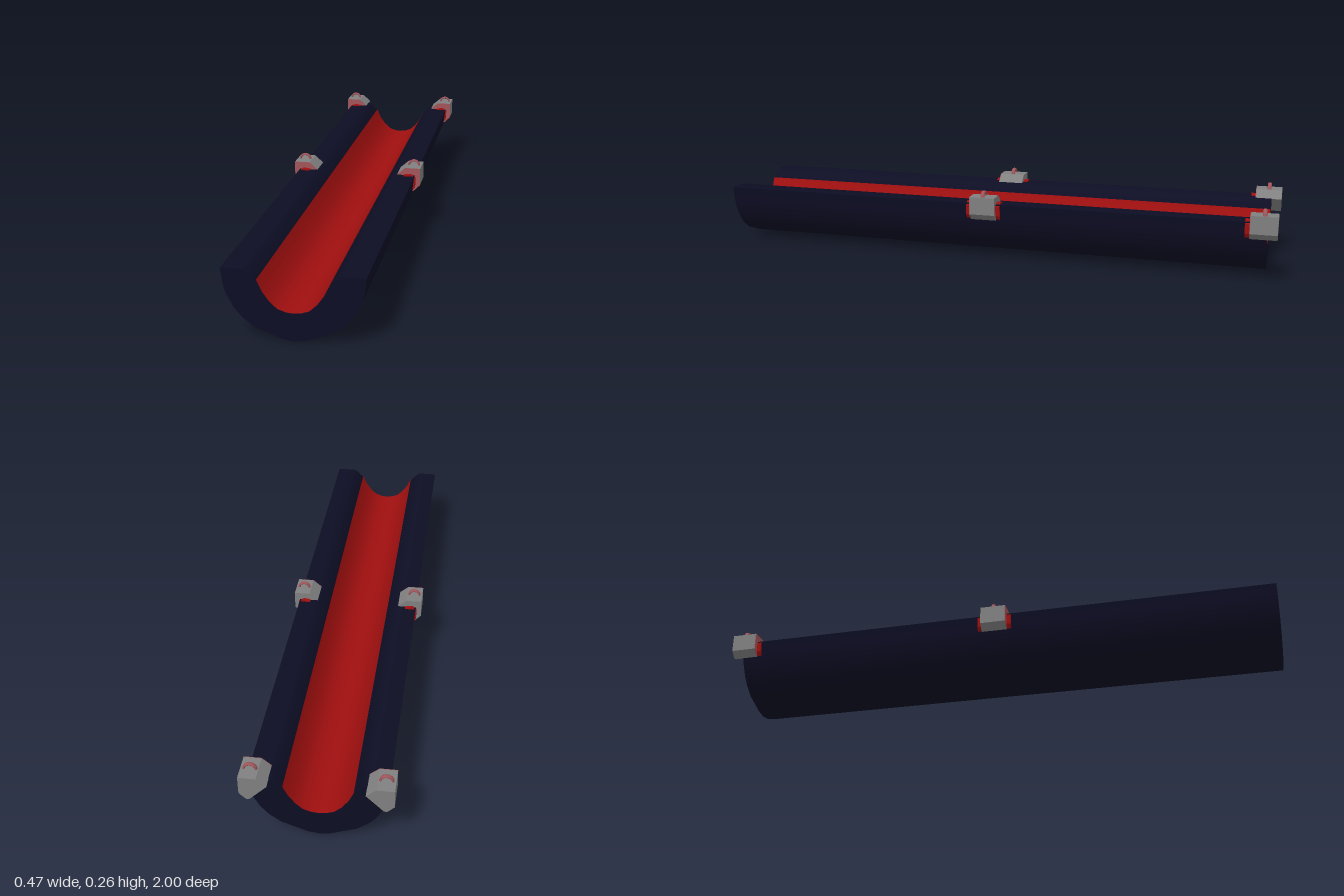
import * as THREE from 'three';
import { toCreasedNormals } from 'three/addons/utils/BufferGeometryUtils.js';

const mat = (name, color) => new THREE.MeshStandardMaterial({ name, color });

// Extrudes an outline of [x, y] points from z = back to z = front
function prism(points, back, front) {
  const shape = new THREE.Shape(points.map(([x, y]) => new THREE.Vector2(x, y)));
  const geo = new THREE.ExtrudeGeometry(shape, { depth: front - back, bevelEnabled: false });
  return geo.translate(0, 0, back);
}

// Completes a half profile that runs from the rim to the centre line
const mirrored = (half) => [...half, ...half.slice(0, -1).reverse().map(([x, y]) => [-x, y])];

export function createModel() {
  const navy = mat('navy', 0x0d0d24);
  const red = mat('red', 0xa00f0f);
  const grey = mat('grey', 0x808080);
  const rose = mat('dusty red', 0xa0555a);
  red.side = THREE.DoubleSide;

  const model = new THREE.Group();
  const add = (parent, name, geo, material) => {
    const mesh = new THREE.Mesh(geo, material);
    mesh.name = name;
    parent.add(mesh);
    return mesh;
  };

  const back = -0.965, front = 1;
  const outer = [[0.214, 0.216], [0.208, 0.167], [0.2, 0.137], [0.178, 0.095], [0.153, 0.065],
    [0.118, 0.038], [0.036, 0.006], [0, 0.001]];
  const bore = [[0.109, 0.185], [0.093, 0.15], [0.071, 0.12], [0.048, 0.099], [0.021, 0.09], [0, 0.088]];
  const inner = [[0.148, 0.216], [0.1375, 0.211], ...bore];

  // Half-pipe trough
  const outline = [...mirrored(outer), ...mirrored(inner).reverse()];
  add(model, 'trough', toCreasedNormals(prism(outline, back, front), 0.55), navy);

  // Red lining of the channel: a plane bent to the bore, just above it
  const curve = mirrored(bore).reverse();
  const lining = new THREE.PlaneGeometry(1, 1, curve.length - 1, 1);
  const pos = lining.attributes.position;
  for (let i = 0; i < pos.count; i++) {
    const [x, y] = curve[i % curve.length];
    pos.setXYZ(i, x * 0.985, y + 0.0015, i < curve.length ? back : front);
  }
  lining.computeVertexNormals();
  add(model, 'channelLining', lining, red);

  // Rim clamps, drawn for the +x side
  const clampOutline = [[0.147, 0.215], [0.178, 0.242], [0.233, 0.242], [0.233, 0.18], [0.21, 0.157], [0.2, 0.16]];
  const padOutline = [[0.175, 0.2], [0.175, 0.219], [0.2, 0.222], [0.217, 0.21], [0.216, 0.175], [0.206, 0.16]];
  const mirrorX = (pts, s) => pts.map(([x, y]) => [x * s, y]);

  for (const [z, place] of [[0.012, 'middle'], [-0.955, 'end']]) {
    for (const s of [1, -1]) {
      const clamp = new THREE.Group();
      clamp.name = place + (s > 0 ? 'LeftClamp' : 'RightClamp');
      clamp.position.z = z;
      model.add(clamp);
      const body = mirrorX(clampOutline, s);
      add(clamp, 'clampBody', prism(body, -0.045, 0.045), grey);
      add(clamp, 'clampFace', prism(body, 0.045, 0.047), rose);
      // Pad peeps out in front, and behind too on the middle pair
      add(clamp, 'clampPad', prism(mirrorX(padOutline, s), place === 'middle' ? -0.06 : -0.04, 0.063), red);
      // Eyelet on top
      const ring = add(clamp, 'eyelet', new THREE.TorusGeometry(0.019, 0.004, 8, 16, Math.PI), rose);
      ring.position.set(0.204 * s, 0.24, 0);
      ring.scale.z = 1.8;
    }
  }
  return model;
}
